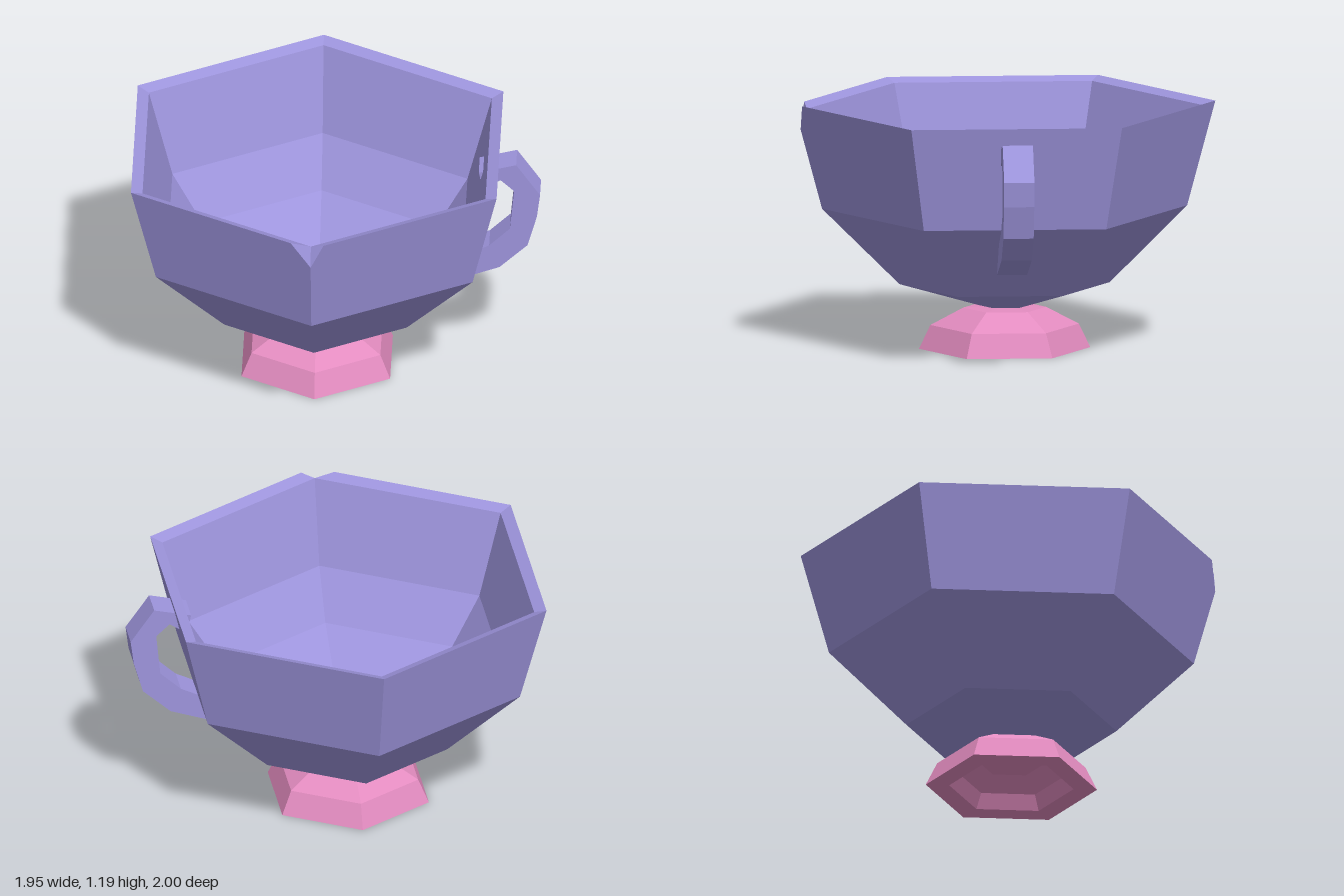
import * as THREE from 'three';

const CX = -0.1, CZ = 0.016; // axis of the bowl and foot

// Corner k of a hexagonal ring; k = 0 points to the front
function corner([r, y], k) {
  const a = (k % 6) * Math.PI / 3;
  return new THREE.Vector3(r * Math.sin(a), y, r * Math.cos(a));
}

// Six-sided shell swept along a profile of [radius, height], with an optional chip
// knocked out of the front corner of ring chip.ring
function hexShell(profile, chip) {
  const pos = [];
  const face = (...p) => {
    for (let i = 1; i < p.length - 1; i++)
      for (const v of [p[0], p[i], p[i + 1]]) pos.push(v.x, v.y, v.z);
  };
  for (let i = 0; i < profile.length - 1; i++) {
    for (let k = 0; k < 6; k++) {
      const a = corner(profile[i], k), b = corner(profile[i], k + 1);
      const c = corner(profile[i + 1], k + 1), d = corner(profile[i + 1], k);
      const right = k === 0, left = k === 5;
      if (chip && (right || left) && i === chip.ring - 1) {
        // wall below the chip
        const low = a.clone().lerp(d, chip.depth);
        const lowB = b.clone().lerp(c, chip.depth);
        if (right) face(a, b, c, d.clone().lerp(c, chip.right), low);
        else face(a, b, lowB, c.clone().lerp(d, chip.left), d);
      } else if (chip && (right || left) && i === chip.ring) {
        // rim beside the chip, and the broken facet itself
        const low = corner(profile[i - 1], 0).lerp(corner(profile[i], 0), chip.depth);
        if (right) {
          const p = a.clone().lerp(b, chip.right);
          face(p, b, c, d);
          face(low, p, d);
        } else {
          const p = b.clone().lerp(a, chip.left);
          face(a, p, c, d);
          face(low, c, p);
        }
      } else face(a, b, c, d);
    }
  }
  const g = new THREE.BufferGeometry();
  g.setAttribute('position', new THREE.Float32BufferAttribute(pos, 3));
  g.computeVertexNormals();
  return g;
}

export function createModel() {
  const group = new THREE.Group();
  const purple = new THREE.MeshStandardMaterial({ color: 0x9d94dc, flatShading: true });
  const pink = new THREE.MeshStandardMaterial({ color: 0xe38cc0, flatShading: true });
  const add = (name, geo, mat, x, z) => {
    const m = new THREE.Mesh(geo, mat);
    m.name = name;
    m.position.set(x, 0, z);
    group.add(m);
  };

  // Bowl: up the outside, over the sloping rim, down the inside
  add('bowl', hexShell([
    [0, 0.205], [0.127, 0.21], [0.507, 0.315], [0.88, 0.685], [1.016, 1.193],
    [0.953, 1.172], [0.82, 0.76], [0.65, 0.54], [0.37, 0.36], [0, 0.3],
  ], { ring: 4, depth: 0.76, right: 0.07, left: 0.11 }), purple, CX, CZ);

  // Foot: hollow underside, then up the outside
  add('foot', hexShell([
    [0, 0.14], [0.16, 0.13], [0.26, 0.07], [0.3, 0],
    [0.413, 0], [0.358, 0.115], [0.2, 0.198], [0, 0.208],
  ]), pink, CX, CZ);

  // Handle: angular hook running into the bowl wall at both ends
  const hook = new THREE.Shape([
    [0.68, 1.08], [0.7, 0.985], [0.785, 1.04], [0.85, 0.98], [0.83, 0.77], [0.73, 0.675],
    [0.58, 0.6], [0.45, 0.535], [0.43, 0.43], [0.78, 0.555], [0.915, 0.68], [0.96, 0.84],
    [0.975, 0.96], [0.86, 1.125],
  ].map(([x, y]) => new THREE.Vector2(x, y)));
  const hookGeo = new THREE.ExtrudeGeometry(hook, { depth: 0.146, bevelEnabled: false });
  add('handle', hookGeo, purple, 0, CZ - 0.073);

  return group;
}
